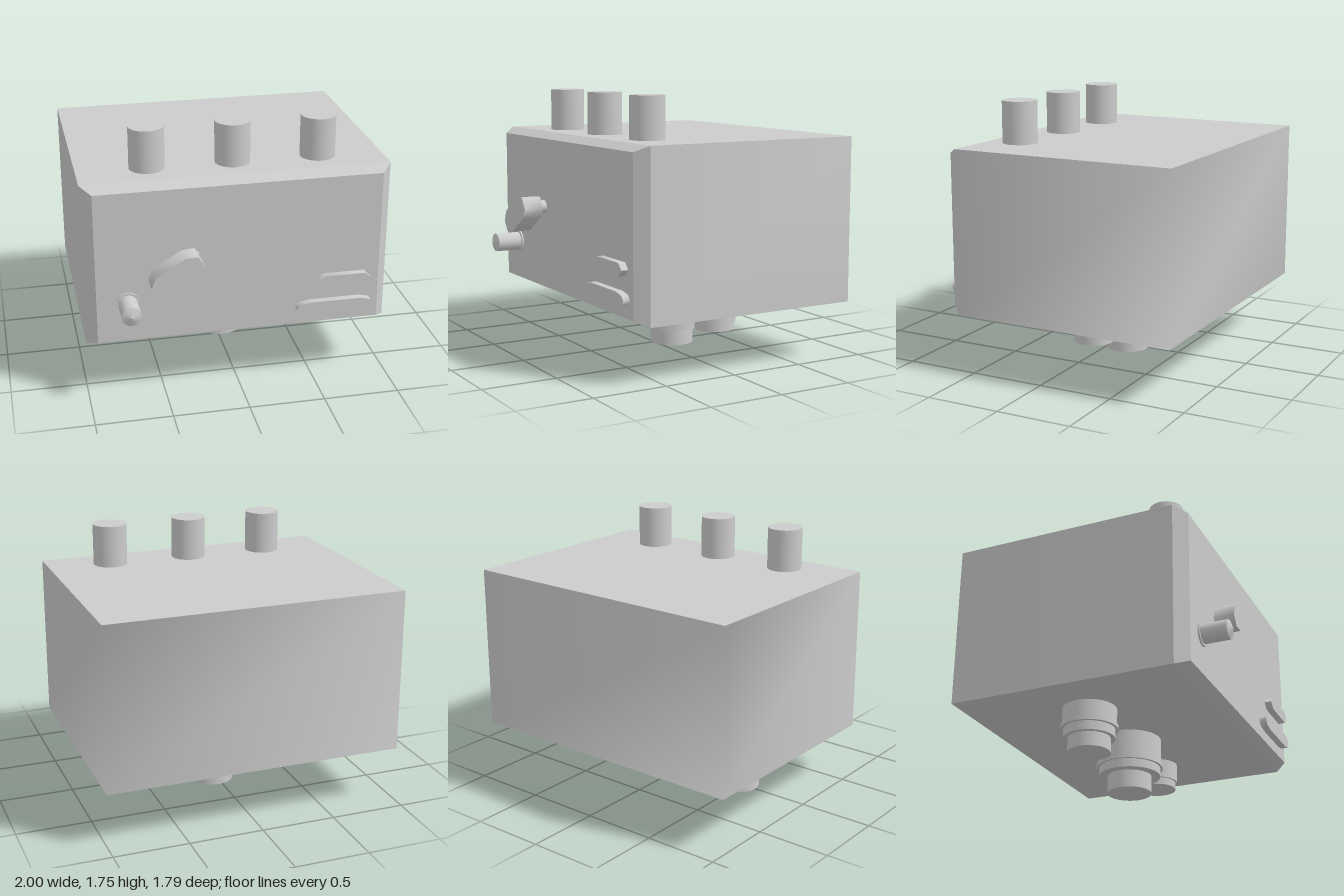
import * as THREE from 'three';
import { toCreasedNormals } from 'three/addons/utils/BufferGeometryUtils.js';

const grey = new THREE.MeshStandardMaterial({ color: 0xcccccc });

function add(parent, name, geometry) {
  const mesh = new THREE.Mesh(geometry, grey);
  mesh.name = name;
  parent.add(mesh);
  return mesh;
}

// Quads of [a, b, c, d], counter-clockwise from outside; a shared index shares its normal
function quads(points, faces) {
  const g = new THREE.BufferGeometry();
  g.setAttribute('position', new THREE.Float32BufferAttribute(points.flat(), 3));
  g.setIndex(faces.flatMap(([a, b, c, d]) => [a, b, c, a, c, d]));
  g.computeVertexNormals();
  return g;
}

// Upright cylinder between two heights
function upright(parent, name, x, z, r, y0, y1) {
  add(parent, name, new THREE.CylinderGeometry(r, r, y1 - y0, 32))
    .position.set(x, (y0 + y1) / 2, z);
}

// Cylinder along z, from z0 to z1
function forward(parent, name, x, y, r0, r1, z0, z1) {
  const g = new THREE.CylinderGeometry(r1, r0, z1 - z0, 24).rotateX(Math.PI / 2);
  add(parent, name, g).position.set(x, y, (z0 + z1) / 2);
}

// Flat outline pushed forward from z0 to z1
function plate(parent, name, outline, z0, z1) {
  const shape = new THREE.Shape(outline.map(([x, y]) => new THREE.Vector2(x, y)));
  const g = new THREE.ExtrudeGeometry(shape, { depth: z1 - z0, bevelEnabled: false });
  add(parent, name, toCreasedNormals(g, 1.2)).position.z = z0;
}

export function createModel() {
  const model = new THREE.Group();
  model.name = 'wallUnit';

  // Housing: side and back walls are one smooth strip, the rest is flat
  const housing = new THREE.Group();
  housing.name = 'housing';
  model.add(housing);
  const y0 = 0.375, y1 = 1.47, back = -0.9, edge = 0.61, front = 0.69;
  const strip = [[1, edge], [1, back], [-1, back], [-1, edge]]
    .flatMap(([x, z]) => [[x, y0, z], [x, y1, z]]);
  add(housing, 'sideAndBackWalls', quads(strip, [0, 2, 4].map(i => [i, i + 2, i + 3, i + 1])));
  const rect = (x, lo, hi, z) => [[-x, lo, z], [x, lo, z], [x, hi, z], [-x, hi, z]];
  const rim = rect(1, y0, y1, edge);
  const face = rect(0.93, 0.41, 1.43, front);
  const rear = rect(1, y0, y1, back);
  add(housing, 'frontPanel', quads(face, [[0, 1, 2, 3]]));
  add(housing, 'topPanel', quads([rim[3], rim[2], rear[2], rear[3]], [[0, 1, 2, 3]]));
  add(housing, 'bottomPanel', quads([rear[0], rear[1], rim[1], rim[0]], [[0, 1, 2, 3]]));
  for (let i = 0; i < 4; i++) {
    const j = (i + 1) % 4;
    add(housing, 'frontBevel', quads([rim[i], rim[j], face[j], face[i]], [[0, 1, 2, 3]]));
  }

  // Three pipes on top
  for (const x of [-0.545, 0.01, 0.575]) upright(model, 'topPipe', x, 0.387, 0.115, 1.46, 1.75);

  // Stepped fittings underneath: x, z, then [radius, bottom, top] per step
  const fittings = [
    [-0.57, -0.14, [[0.175, 0.26, 0.38], [0.185, 0.235, 0.26], [0.166, 0.175, 0.235], [0.138, 0.08, 0.175]]],
    [0.027, -0.125, [[0.212, 0.205, 0.38], [0.222, 0.175, 0.205], [0.206, 0.118, 0.175], [0.147, 0, 0.118]]],
    [0.545, -0.142, [[0.142, 0.245, 0.38], [0.13, 0.195, 0.245]]],
  ];
  for (const [x, z, steps] of fittings) {
    const fitting = new THREE.Group();
    fitting.name = 'bottomFitting';
    model.add(fitting);
    for (const [r, a, b] of steps) upright(fitting, 'fittingStep', x, z, r, a, b);
  }

  // Pointed knob with its collar
  const knob = new THREE.Group();
  knob.name = 'knob';
  model.add(knob);
  forward(knob, 'knobCollar', -0.73, 0.673, 0.078, 0.078, 0.68, 0.702);
  forward(knob, 'knobShaft', -0.73, 0.673, 0.063, 0.063, 0.7, 0.872);
  forward(knob, 'knobTip', -0.73, 0.673, 0.063, 0, 0.872, 0.895);

  // Slanted lever on a short stem
  const lever = new THREE.Group();
  lever.name = 'lever';
  model.add(lever);
  forward(lever, 'leverStem', -0.307, 0.967, 0.043, 0.043, 0.68, 0.73);
  plate(lever, 'leverHandle', [[-0.6, 0.845], [-0.555, 0.778], [-0.475, 0.783], [-0.295, 0.895],
    [-0.257, 0.96], [-0.305, 1.037], [-0.385, 1.03], [-0.57, 0.92]], 0.722, 0.857);

  // Two raised long buttons
  plate(model, 'upperButton', [[0.51, 0.715], [0.555, 0.673], [0.83, 0.673], [0.87, 0.715],
    [0.83, 0.757], [0.555, 0.757]], 0.68, 0.738);
  plate(model, 'lowerButton', [[0.37, 0.53], [0.392, 0.497], [0.47, 0.483], [0.8, 0.483], [0.87, 0.497],
    [0.89, 0.53], [0.87, 0.56], [0.8, 0.576], [0.47, 0.576], [0.392, 0.563]], 0.68, 0.738);
  return model;
}
